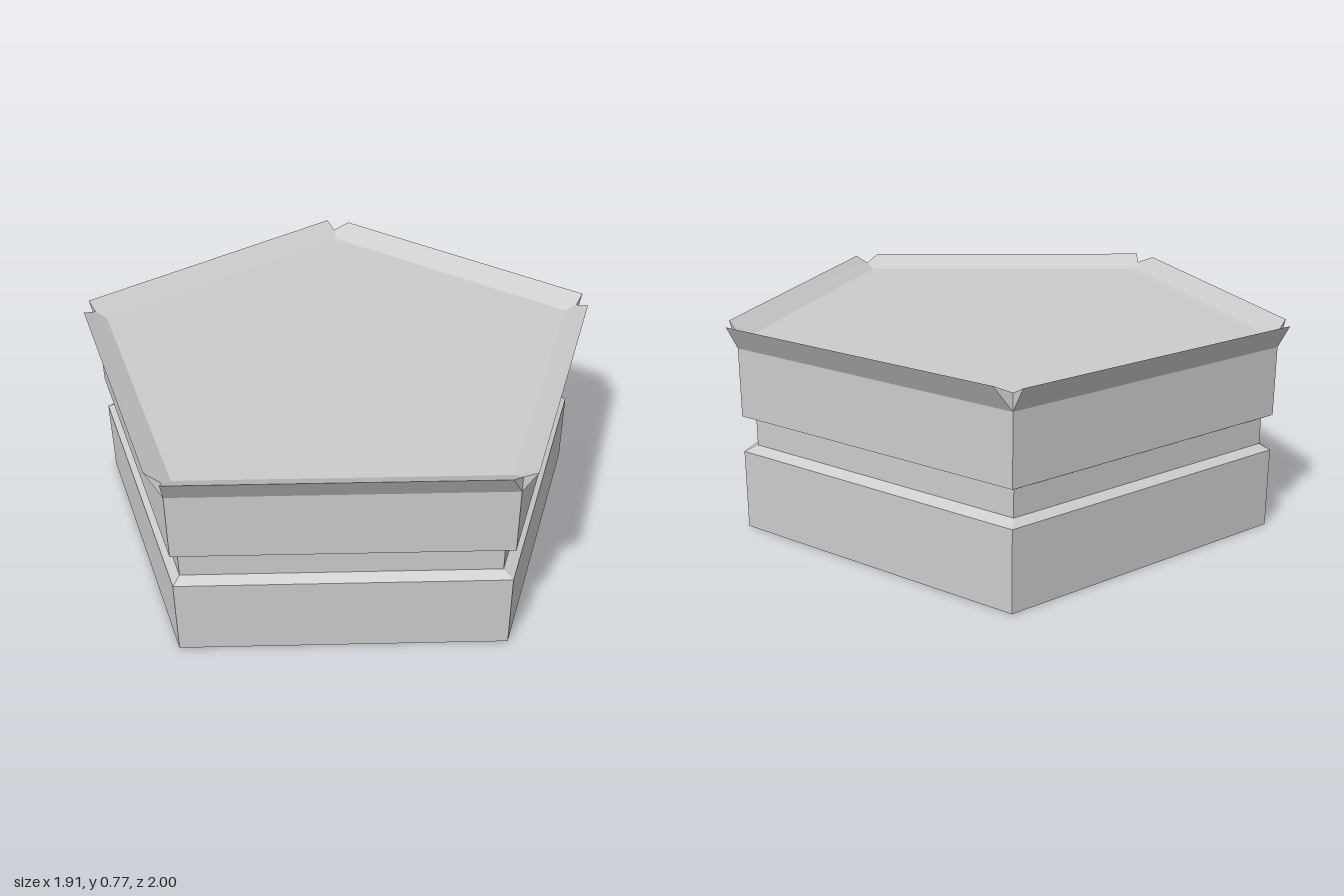
import * as THREE from 'three';

const SIDES = 5;
const grey = new THREE.MeshStandardMaterial({ color: 0xcccccc, flatShading: true });

// One pentagon of corners at height y
function ring(y, radius, cx = -0.091, cz = 0.004) {
  return Array.from({ length: SIDES }, (_, k) => {
    const a = (k * 2 * Math.PI) / SIDES;
    return new THREE.Vector3(cx + radius * Math.cos(a), y, cz + radius * Math.sin(a));
  });
}

// Flat-sided mesh from convex polygons, corners counter-clockwise from outside
function facetMesh(name, polygons) {
  const points = [];
  for (const p of polygons) {
    for (let i = 1; i < p.length - 1; i++) points.push(p[0], p[i], p[i + 1]);
  }
  const geometry = new THREE.BufferGeometry().setFromPoints(points);
  geometry.computeVertexNormals();
  const mesh = new THREE.Mesh(geometry, grey);
  mesh.name = name;
  return mesh;
}

// Wall and bottom through a stack of pentagons, open at the top
function loft(name, rings) {
  const polygons = [rings[0]];
  for (let r = 0; r < rings.length - 1; r++) {
    const low = rings[r], high = rings[r + 1];
    for (let k = 0; k < SIDES; k++) {
      const n = (k + 1) % SIDES;
      polygons.push([low[k], high[k], high[n], low[n]]);
    }
  }
  return facetMesh(name, polygons);
}

export function createModel() {
  const model = new THREE.Group();
  model.name = 'pentagonalPlatform';

  // Body with a bevelled groove around the middle
  const R = 1.007, wallTop = 0.685, rimTop = 0.773;
  const outer = ring(wallTop, R);
  model.add(loft('body', [
    ring(0, R), ring(0.295, R),
    ring(0.315, 0.962, -0.094, 0.008), ring(0.412, 0.962, -0.094, 0.008),
    ring(0.43, R), outer,
  ]));

  // Flat deck, a little higher than the foot of the rim
  const inner = ring(0.727, 0.962);
  model.add(facetMesh('deck', [[...inner].reverse()]));

  // Flared lips, one per side, sloping gently in to the deck, with notched corners
  const lips = new THREE.Group();
  lips.name = 'rimLips';
  const notch = ring(0.746, R);
  const trims = [[0.04, 0], [0.04, 0.04], [0, 0], [0.04, 0], [0.04, 0]];
  trims.forEach(([startTrim, endTrim], k) => {
    const n = (k + 1) % SIDES;
    const A = outer[k], B = outer[n];
    const along = B.clone().sub(A).normalize();
    const flare = new THREE.Vector3(along.z, 0, -along.x).multiplyScalar(0.05);
    flare.y = rimTop - wallTop;
    const T = A.clone().add(flare).addScaledVector(along, startTrim);
    const U = B.clone().add(flare).addScaledVector(along, -endTrim);
    lips.add(facetMesh('rimLip' + (k + 1), [
      [A, T, U, B],
      [T, notch[k], inner[k], inner[n], notch[n], U],
      [A, notch[k], T], [B, U, notch[n]],
    ]));
  });
  model.add(lips);
  return model;
}
